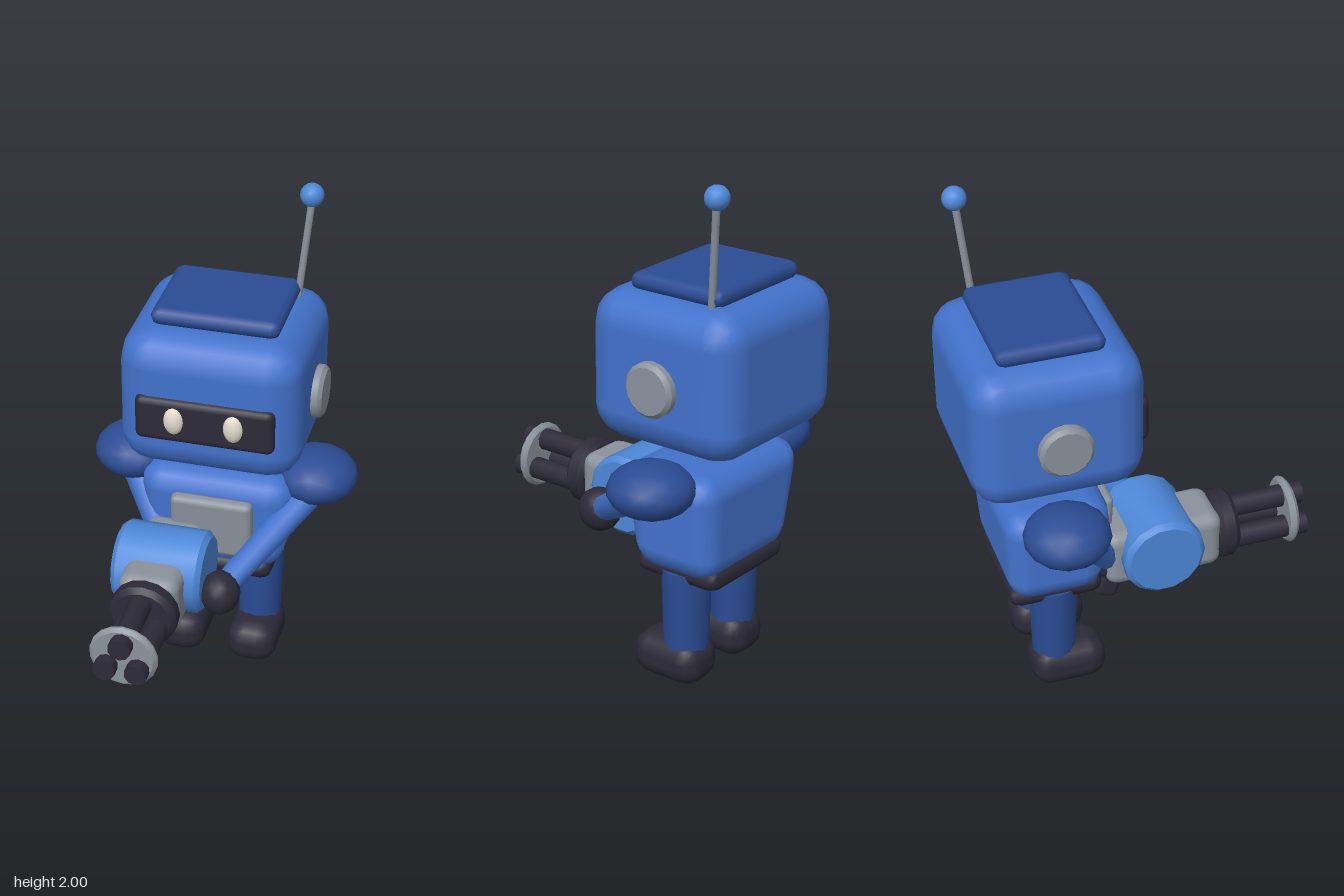
import * as THREE from 'three';
import { toCreasedNormals } from 'three/addons/utils/BufferGeometryUtils.js';
import { RoundedBoxGeometry } from 'three/addons/geometries/RoundedBoxGeometry.js';

const mat = (name, color) => {
  const m = new THREE.MeshStandardMaterial({ color });
  m.name = name;
  return m;
};

// Rounded box
const box = (w, h, d, r, seg = 2) => new RoundedBoxGeometry(w, h, d, seg, r);

// Low-poly ellipsoid
const ball = (rx, ry = rx, rz = rx) => new THREE.IcosahedronGeometry(1, 2).scale(rx, ry, rz);

// Disc around y with bevelled rims
function disc(radius, thickness, bevel, sides = 14) {
  const h = thickness / 2;
  const profile = [[0, -h], [radius - bevel, -h], [radius, -h + bevel],
    [radius, h - bevel], [radius - bevel, h], [0, h]].map(p => new THREE.Vector2(...p));
  return toCreasedNormals(new THREE.LatheGeometry(profile, sides), 0.7);
}

// Tapered rod from point a to point b
function rod(a, b, ra, rb, sides = 10) {
  const from = new THREE.Vector3(...a), to = new THREE.Vector3(...b);
  const dir = to.clone().sub(from);
  const geo = new THREE.CylinderGeometry(rb, ra, dir.length(), sides);
  geo.applyQuaternion(new THREE.Quaternion().setFromUnitVectors(
    new THREE.Vector3(0, 1, 0), dir.normalize()));
  const mid = from.add(to).multiplyScalar(0.5);
  return geo.translate(mid.x, mid.y, mid.z);
}

export function createModel() {
  const model = new THREE.Group();
  model.name = 'robot';
  const blue = mat('blue', 0x4272cc);
  const navy = mat('navy', 0x2b4c94);
  const sky = mat('lightBlue', 0x4d88d8);
  const dark = mat('charcoal', 0x2c2a38);
  const grey = mat('grey', 0x8b929c);
  const cream = mat('cream', 0xe2dccb);
  const Z = -0.345; // body centre

  const add = (name, geo, material, x = 0, y = 0, z = 0, parent = model) => {
    const mesh = new THREE.Mesh(geo, material);
    mesh.name = name;
    mesh.position.set(x, y, z);
    parent.add(mesh);
    return mesh;
  };

  // Head
  const head = new THREE.Group();
  head.name = 'head';
  model.add(head);
  add('skull', box(0.71, 0.57, 0.66, 0.13), blue, 0, 1.265, -0.342, head);
  add('topPlate', box(0.5, 0.07, 0.41, 0.035, 1), navy, 0, 1.575, -0.348, head);
  add('visor', box(0.54, 0.185, 0.06, 0.028), dark, 0, 1.228, -0.022, head);
  add('antennaRod', rod([0.238, 1.53, -0.508], [0.275, 1.95, -0.55], 0.014, 0.014, 8), grey, 0, 0, 0, head);
  add('antennaTip', ball(0.046), sky, 0.273, 1.955, -0.55, head);

  // Torso, narrowing towards the waist
  const torso = box(0.64, 0.44, 0.43, 0.1);
  const p = torso.attributes.position;
  for (let i = 0; i < p.count; i++) {
    const k = 0.9 + 0.1 * (p.getY(i) / 0.22);
    p.setX(i, p.getX(i) * k);
    p.setZ(i, p.getZ(i) * (0.92 + 0.08 * (p.getY(i) / 0.22)));
  }
  add('torso', torso, blue, 0, 0.68, Z);
  add('chestPlate', box(0.33, 0.26, 0.06, 0.025, 1), grey, 0, 0.69, -0.13).rotation.x = 0.06;
  add('pelvis', box(0.46, 0.085, 0.37, 0.04, 1), dark, 0, 0.47, Z);

  // Paired parts
  for (const s of [1, -1]) {
    const side = s > 0 ? 'left' : 'right';
    add(side + 'Ear', disc(0.104, 0.07, 0.015, 16).rotateZ(Math.PI / 2), grey, s * 0.36, 1.24, -0.342, head);
    add(side + 'Eye', ball(0.04, 0.06, 0.03), cream, s * 0.115, 1.235, 0.0, head);
    add(side + 'Shoulder', ball(0.165, 0.104, 0.165), navy, s * 0.368, 0.858, Z);
    add(side + 'Leg', new THREE.CylinderGeometry(0.097, 0.085, 0.36, 12), navy, s * 0.15, 0.29, Z);
    add(side + 'Foot', box(0.205, 0.175, 0.3, 0.075), dark, s * 0.15, 0.0885, -0.295);
  }

  // Arms and hands
  add('leftArm', rod([0.37, 0.82, -0.3], [0.1, 0.565, 0.1], 0.062, 0.05), blue);
  add('leftHand', ball(0.078, 0.088, 0.088), dark, 0.098, 0.557, 0.115);
  add('rightArm', rod([-0.37, 0.83, -0.31], [-0.18, 0.55, -0.12], 0.062, 0.05), blue);
  add('rightHand', ball(0.075), dark, -0.17, 0.53, -0.11);

  // Rotary blaster pointing forwards
  const gun = new THREE.Group();
  gun.name = 'blaster';
  gun.position.set(-0.14, 0.58, 0);
  model.add(gun);
  const alongZ = g => g.rotateX(Math.PI / 2);
  add('blasterBody', box(0.24, 0.24, 0.47, 0.05), grey, 0, 0, 0.08, gun);
  add('drum', disc(0.163, 0.355, 0.02, 14).rotateZ(Math.PI / 2), sky, 0, 0.02, 0.06, gun);
  add('collar', alongZ(disc(0.135, 0.085, 0.02, 16)), dark, 0, 0, 0.343, gun);
  add('muzzlePlate', alongZ(disc(0.132, 0.036, 0.014, 18)), grey, 0, 0, 0.612, gun);
  for (let i = 0; i < 3; i++) {
    const a = Math.PI / 2 + i * Math.PI * 2 / 3;
    add('barrel' + (i + 1), alongZ(new THREE.CylinderGeometry(0.044, 0.044, 0.335, 10)), dark,
      0.07 * Math.cos(a), 0.07 * Math.sin(a), 0.507, gun);
  }
  add('grip', box(0.09, 0.2, 0.1, 0.03), dark, 0, -0.13, -0.11, gun).rotation.x = 0.35;

  return model;
}
